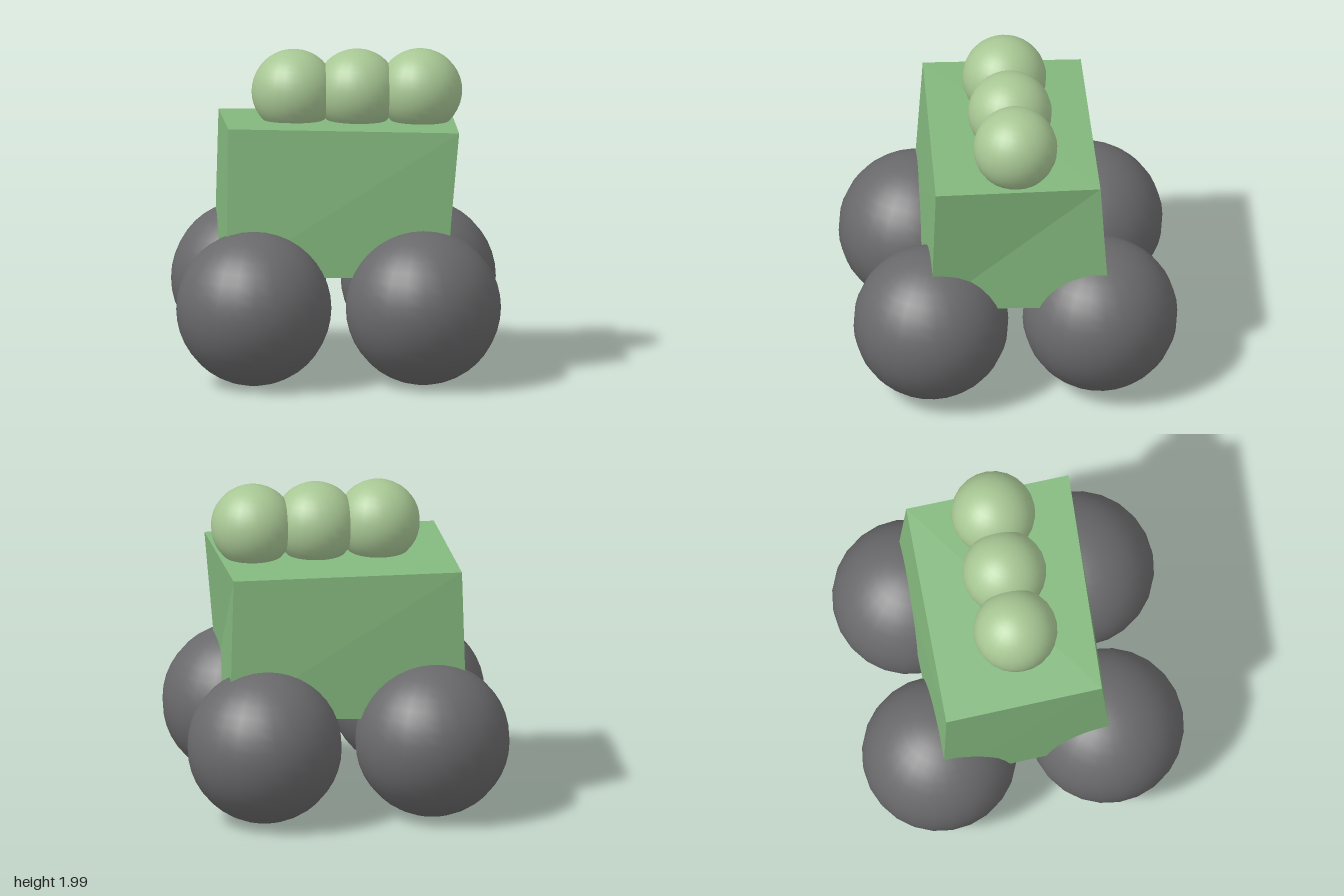
import * as THREE from 'three';

export function createModel() {
  const model = new THREE.Group();
  const bodyGreen = new THREE.MeshStandardMaterial({ name: 'leaf green', color: 0x84b87e, flatShading: true });
  const cargoGreen = new THREE.MeshStandardMaterial({ name: 'pale green', color: 0xa8c794 });
  const wheelGrey = new THREE.MeshStandardMaterial({ name: 'dark grey', color: 0x69696b });

  const ball = (name, radius, x, y, z, material) => {
    const mesh = new THREE.Mesh(new THREE.SphereGeometry(radius, 24, 20), material);
    mesh.name = name;
    mesh.position.set(x, y, z);
    model.add(mesh);
  };

  // Body: a box with each corner nudged, keyed by the signs of x, y, z
  const corners = {
    '-++': [-0.675, 1.585, 0.465], '+++': [0.74, 1.56, 0.51],
    '-+-': [-0.705, 1.53, -0.51], '++-': [0.71, 1.53, -0.507],
    '--+': [-0.69, 0.66, 0.525], '+-+': [0.66, 0.67, 0.53],
    '---': [-0.73, 0.6, -0.535], '+--': [0.74, 0.67, -0.56],
  };
  const geometry = new THREE.BoxGeometry(1, 1, 1);
  const position = geometry.attributes.position;
  const sign = (v) => (v > 0 ? '+' : '-');
  for (let i = 0; i < position.count; i++) {
    const key = sign(position.getX(i)) + sign(position.getY(i)) + sign(position.getZ(i));
    position.setXYZ(i, ...corners[key]);
  }
  geometry.computeVertexNormals();
  const body = new THREE.Mesh(geometry, bodyGreen);
  body.name = 'body';
  model.add(body);

  // Four ball wheels
  for (const x of [-1, 1]) {
    for (const z of [-1, 1]) {
      const name = (z > 0 ? 'front' : 'back') + (x > 0 ? 'Left' : 'Right') + 'Wheel';
      ball(name, 0.476, x * 0.52, 0.478, z * 0.52, wheelGrey);
    }
  }

  // Row of balls on the roof
  [-0.26, 0.128, 0.516].forEach((x, i) => ball('roofBall' + (i + 1), 0.258, x, 1.735, 0, cargoGreen));

  return model;
}
